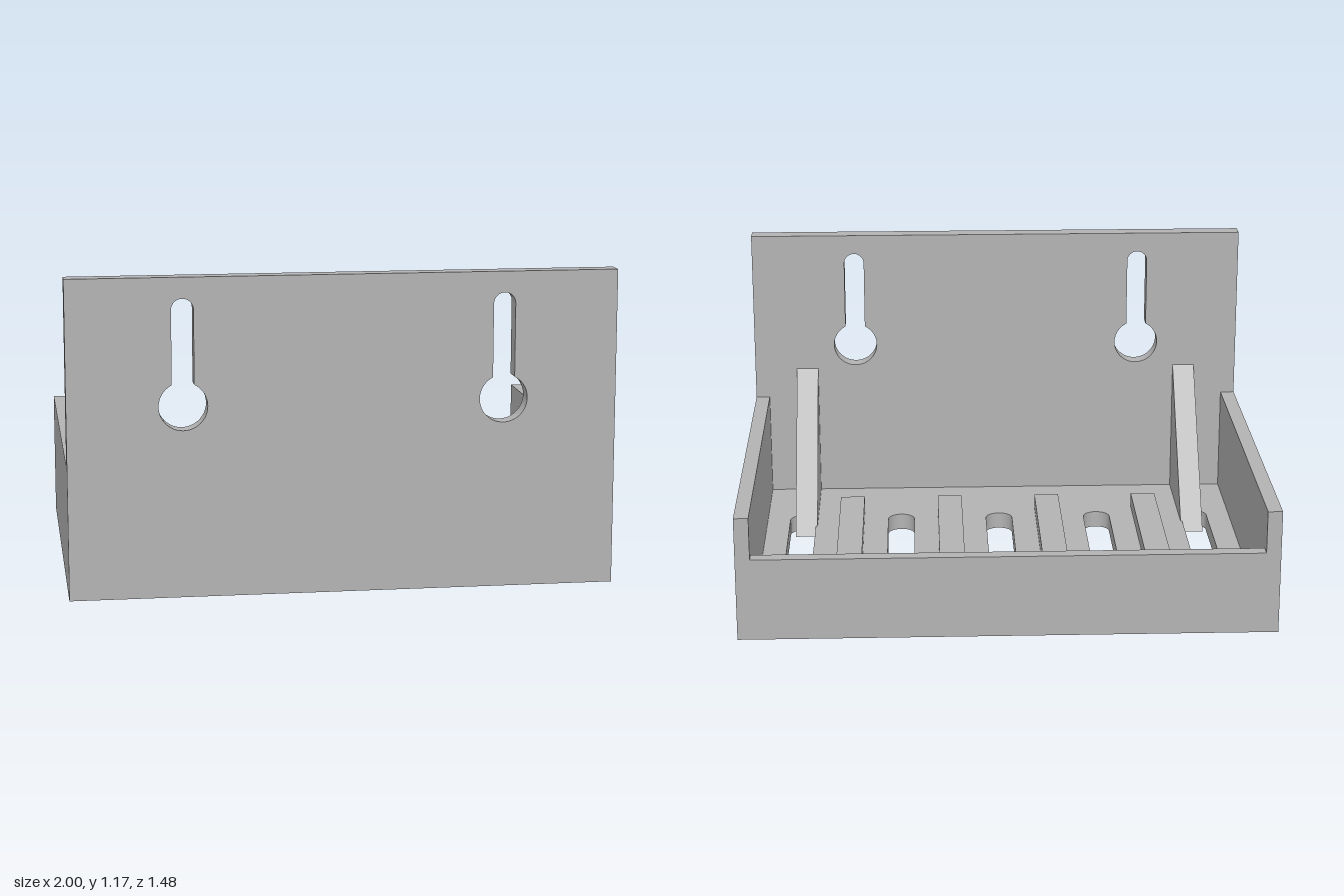
import * as THREE from 'three';

const W = 1, D = 0.74;                  // half width, half depth
const WALL = 0.055, LIP = 0.05;         // side wall and rear lip thickness
const PLATE_Z = 0.672;                  // inner face of the mounting plate
const PLATE_H = 1.167, SIDE_H = 0.477, LIP_H = 0.315, FLOOR_H = 0.065;

export function createModel() {
  const model = new THREE.Group();
  model.name = 'wallTray';
  const grey = new THREE.MeshStandardMaterial({ color: 0xb3b3b3 });
  grey.name = 'grey plastic';

  const add = (name, geometry, x = 0, y = 0, z = 0) => {
    const mesh = new THREE.Mesh(geometry, grey);
    mesh.name = name;
    mesh.position.set(x, y, z);
    model.add(mesh);
    return mesh;
  };
  // box given by its minimum and maximum corners
  const box = (name, x0, x1, y0, y1, z0, z1) =>
    add(name, new THREE.BoxGeometry(x1 - x0, y1 - y0, z1 - z0),
      (x0 + x1) / 2, (y0 + y1) / 2, (z0 + z1) / 2);
  const rect = (x0, x1, y0, y1) => new THREE.Shape([
    new THREE.Vector2(x0, y0), new THREE.Vector2(x1, y0),
    new THREE.Vector2(x1, y1), new THREE.Vector2(x0, y1)]);
  const extrude = (shape, depth) =>
    new THREE.ExtrudeGeometry(shape, { depth, bevelEnabled: false, curveSegments: 24 });

  // Mounting plate with two keyholes
  const plate = rect(-W, W, 0, PLATE_H);
  const keyY = 0.702, keyR = 0.088, slotR = 0.04, slotTop = 1.09;
  const half = Math.asin(slotR / keyR);
  for (const x of [-0.583, 0.583]) {
    const hole = new THREE.Path();
    hole.absarc(x, slotTop - slotR, slotR, 0, Math.PI, false);
    hole.absarc(x, keyY, keyR, Math.PI / 2 + half, Math.PI * 2.5 - half, false);
    hole.closePath();
    plate.holes.push(hole);
  }
  add('mountingPlate', extrude(plate, D - PLATE_Z), 0, 0, PLATE_Z);

  // Floor with five rounded drain slots (shape y becomes -z)
  const floor = rect(-W + WALL, W - WALL, -PLATE_Z, D - LIP);
  const r = 0.053, rear = 0.515 - r, front = -0.36 + r;
  for (let i = -2; i <= 2; i++) {
    const slot = new THREE.Path();
    slot.absarc(i * 0.4, rear, r, 0, Math.PI, false);
    slot.absarc(i * 0.4, front, r, Math.PI, Math.PI * 2, false);
    slot.closePath();
    floor.holes.push(slot);
  }
  add('floor', extrude(floor, FLOOR_H).rotateX(-Math.PI / 2));

  // Rear lip
  box('rearLip', -W + WALL, W - WALL, 0, LIP_H, -D, -D + LIP);

  // Raised ribs between the slots
  for (const x of [-0.6, -0.2, 0.2, 0.6])
    box('floorRib', x - 0.049, x + 0.049, FLOOR_H, FLOOR_H + 0.053, -0.585, 0.43);

  // Triangular brace profile in z and y, dipping into the outer slots
  const brace = new THREE.Shape([
    new THREE.Vector2(PLATE_Z, 0.03), new THREE.Vector2(PLATE_Z, 0.6),
    new THREE.Vector2(0.21, 0.03)]);

  for (const s of [-1, 1]) {
    const side = s > 0 ? 'left' : 'right';
    box(side + 'Wall', Math.min(s * W, s * (W - WALL)), Math.max(s * W, s * (W - WALL)),
      0, SIDE_H, -D, PLATE_Z);
    add(side + 'Brace', extrude(brace, 0.088).rotateY(-Math.PI / 2), s * 0.784 + 0.044);
  }
  return model;
}
